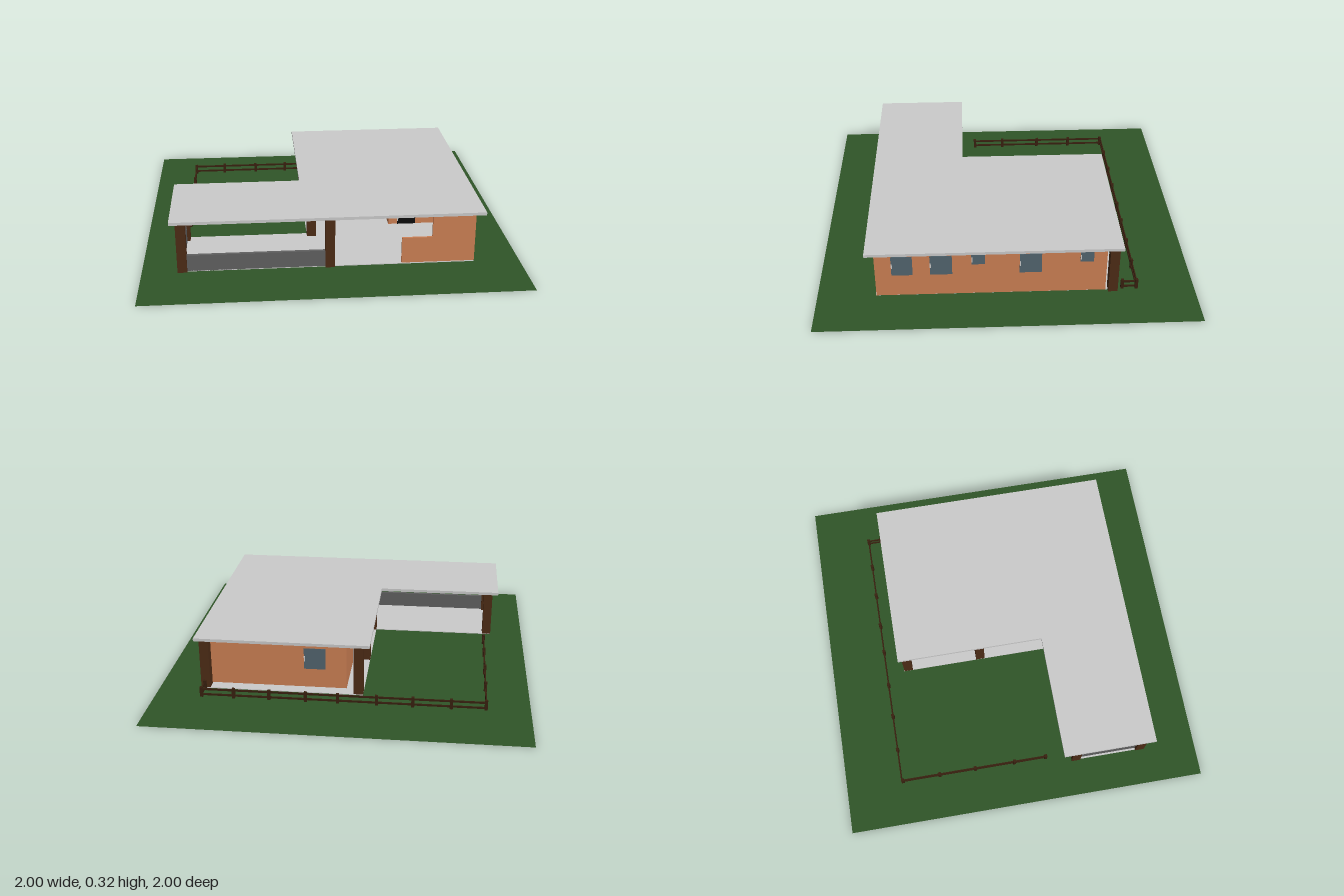
import * as THREE from 'three';

const paint = (color, side = THREE.FrontSide) => {
  const m = new THREE.MeshStandardMaterial({ color: 0xcccccc, side });
  m.color.set(color);
  return m;
};

export function createModel() {
  const model = new THREE.Group();
  const grey = paint(0xcccccc);
  const brick = paint(0xcd8054);
  const wood = paint(0x4d2c16);
  const fenceWood = paint(0x38200f);
  const stone = paint(0x606060);
  const glass = paint(0x52656f);
  const black = paint(0x0c0c0c);
  const grass = paint(0x305528, THREE.DoubleSide);

  // Box given by its limits on each axis
  const box = (name, mat, x0, x1, y0, y1, z0, z1, parent = model) => {
    const mesh = new THREE.Mesh(new THREE.BoxGeometry(x1 - x0, y1 - y0, z1 - z0), mat);
    mesh.position.set((x0 + x1) / 2, (y0 + y1) / 2, (z0 + z1) / 2);
    mesh.name = name;
    parent.add(mesh);
    return mesh;
  };
  const group = (name) => {
    const g = new THREE.Group();
    g.name = name;
    model.add(g);
    return g;
  };

  // L-shaped horizontal slab, bottom at y
  const slab = (name, mat, left, right, back, front, innerX, innerZ, y, h) => {
    const pts = [[left, front], [right, front], [right, back], [innerX, back], [innerX, innerZ], [left, innerZ]];
    const shape = new THREE.Shape(pts.map(([x, z]) => new THREE.Vector2(x, -z)));
    const geo = new THREE.ExtrudeGeometry(shape, { depth: h, bevelEnabled: false });
    geo.rotateX(-Math.PI / 2);
    const mesh = new THREE.Mesh(geo, mat);
    mesh.position.y = y;
    mesh.name = name;
    model.add(mesh);
  };

  const ground = new THREE.Mesh(new THREE.PlaneGeometry(2, 2).rotateX(-Math.PI / 2), grass);
  ground.name = 'lawn';
  model.add(ground);

  const Y0 = 0.02, Y1 = 0.3, T = 0.012;
  slab('floor', grey, -0.805, 0.745, -0.585, 0.69, -0.115, 0.285, Y0 - 0.002, 0.004);
  slab('roof', grey, -0.84, 0.79, -0.6, 0.73, -0.15, 0.22, Y1, 0.016);

  // Brick walls
  const walls = group('walls');
  const wallX = (name, x0, x1, z, top = Y1) => box(name, brick, x0, x1, Y0, top, z - T, z, walls);
  const wallZ = (name, x, z0, z1) => box(name, brick, x - T, x, Y0, Y1, z0, z1, walls);
  wallZ('sideWall', 0.747, -0.52, 0.686);
  wallX('backWall', -0.02, 0.747, -0.52 + T);
  wallZ('endWall', -0.02 + T, -0.52, -0.185);
  wallX('recessedWall', -0.02, 0.36, -0.185);
  wallZ('passageWall', 0.36 + T, -0.185, 0.2);
  wallX('innerFrontWall', 0.36, 0.747, 0.2);
  wallX('frontWall', 0.52, 0.747, 0.686);
  wallX('frontHalfWall', 0.36, 0.52, 0.686, 0.165);

  // Low stone parapet round the terrace
  box('frontParapet', stone, -0.79, -0.03, Y0, 0.11, 0.672, 0.69);
  box('sideParapet', stone, -0.795, -0.777, Y0, 0.11, 0.31, 0.69);

  // Wooden columns under the roof
  const columns = group('columns');
  const spots = [[-0.785, 0.31], [-0.785, 0.68], [-0.018, 0.68], [-0.09, 0.3],
    [-0.09, -0.13], [-0.09, -0.558], [0.74, -0.558]];
  for (const [x, z] of spots)
    box('column', wood, x - 0.025, x + 0.025, Y0, Y1, z - 0.025, z + 0.025, columns);

  // Windows of the side wall: z range and y range, each with a small handle
  const windows = group('windows');
  const sideWindows = [[0.49, 0.6, 0.15, 0.267], [0.285, 0.4, 0.15, 0.267], [0.115, 0.185, 0.21, 0.27],
    [-0.18, -0.065, 0.15, 0.267], [-0.45, -0.38, 0.21, 0.27]];
  for (const [z0, z1, y0, y1] of sideWindows) {
    const mid = (y0 + y1) / 2;
    box('window', glass, 0.733, 0.75, y0, y1, z0, z1, windows);
    box('windowHandle', grey, 0.746, 0.753, mid - 0.014, mid + 0.014, z1 - 0.006, z1, windows);
  }
  box('backWindow', glass, 0.093, 0.21, 0.13, 0.25, -0.523, -0.505, windows);
  box('windowHandle', grey, 0.204, 0.21, 0.175, 0.205, -0.526, -0.52, windows);

  // Doors with hinges and a handle
  const doors = group('doors');
  for (const [x0, x1, z] of [[0.2, 0.315, -0.185], [0.41, 0.515, 0.2]]) {
    box('door', black, x0, x1, Y0, Y1, z - 0.014, z + 0.003, doors);
    box('doorHandle', grey, x1 - 0.012, x1, 0.175, 0.2, z, z + 0.008, doors);
    for (const y of [0.05, 0.16, 0.27])
      box('hinge', grey, x0, x0 + 0.005, y - 0.01, y + 0.01, z, z + 0.006, doors);
  }

  // Garden fence: posts and two rails
  const fence = group('fence');
  const L = -0.765, R = 0.738, B = -0.685;
  const posts = [-0.585, -0.385, -0.195, 0.01, 0.18, 0.375, 0.565, R].map((x) => [x, B])
    .concat([-0.68, -0.47, -0.265, -0.04, 0.14].map((z) => [L, z]), [[R, -0.61]]);
  for (const [x, z] of posts)
    box('fencePost', fenceWood, x - 0.008, x + 0.008, Y0, 0.075, z - 0.008, z + 0.008, fence);
  for (const y of [0.028, 0.058]) {
    box('backRail', fenceWood, L, R, y, y + 0.01, B - 0.003, B + 0.003, fence);
    box('sideRail', fenceWood, L - 0.003, L + 0.003, y, y + 0.01, B, 0.14, fence);
    box('returnRail', fenceWood, R - 0.003, R + 0.003, y, y + 0.01, B, -0.6, fence);
  }
  return model;
}
